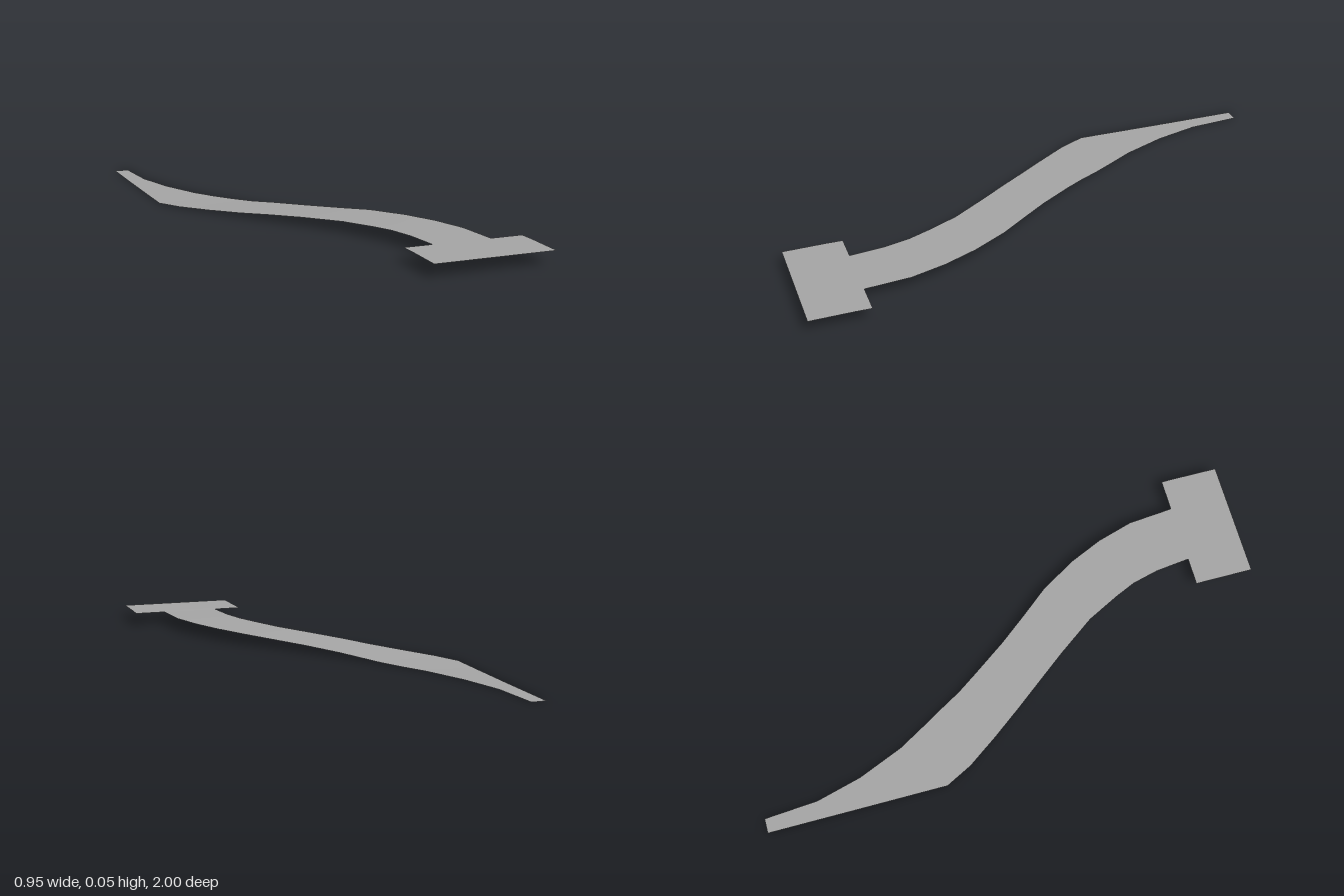
import * as THREE from 'three';

// Cross-sections of the road, back to front: left edge x, z, right edge x, z, height
const SECTIONS = [
  [-0.475, -1, -0.42, -1, 0],
  [-0.475, -0.86, -0.405, -0.8, 0],
  [-0.475, -0.7, -0.36, -0.63, 0],
  [-0.475, -0.5, -0.29, -0.46, 0.001],
  [-0.475, -0.33, -0.235, -0.365, 0.002],
  [-0.425, -0.23, -0.185, -0.28, 0.005],
  [-0.345, -0.115, -0.14, -0.2, 0.01],
  [-0.26, 0, -0.09, -0.125, 0.017],
  [-0.18, 0.105, 0, 0.005, 0.026],
  [-0.1, 0.21, 0.085, 0.115, 0.033],
  [0, 0.35, 0.165, 0.215, 0.04],
  [0.06, 0.47, 0.245, 0.35, 0.044],
  [0.095, 0.55, 0.3, 0.475, 0.046],
  [0.12, 0.65, 0.34, 0.61, 0.047],
  [0.135, 0.78, 0.355, 0.78, 0.048],
];

// Sheet joining successive pairs of edge points, facing up
function ribbon(sections) {
  const positions = [];
  const indices = [];
  sections.forEach(([lx, lz, rx, rz, y], i) => {
    positions.push(lx, y, lz, rx, y, rz);
    if (i > 0) {
      const a = 2 * (i - 1);
      indices.push(a, a + 2, a + 3, a, a + 3, a + 1);
    }
  });
  const geometry = new THREE.BufferGeometry();
  geometry.setAttribute('position', new THREE.Float32BufferAttribute(positions, 3));
  geometry.setIndex(indices);
  geometry.computeVertexNormals();
  return geometry;
}

export function createModel() {
  const group = new THREE.Group();
  group.name = 'rampRoad';
  const asphalt = new THREE.MeshStandardMaterial({ color: 0xa6a6a6, side: THREE.DoubleSide });
  asphalt.name = 'grey asphalt';

  // Curving ramp that tapers into a merge lane at the back
  const ramp = new THREE.Mesh(ribbon(SECTIONS), asphalt);
  ramp.name = 'curvedRamp';
  group.add(ramp);

  // Wide crossing road at the front
  const junction = new THREE.Mesh(ribbon([
    [0.03, 0.78, 0.475, 0.78, 0.048],
    [0.03, 0.84, 0.475, 0.84, 0.049],
    [0.03, 1, 0.475, 1, 0.048],
  ]), asphalt);
  junction.name = 'junctionRoad';
  group.add(junction);

  return group;
}
